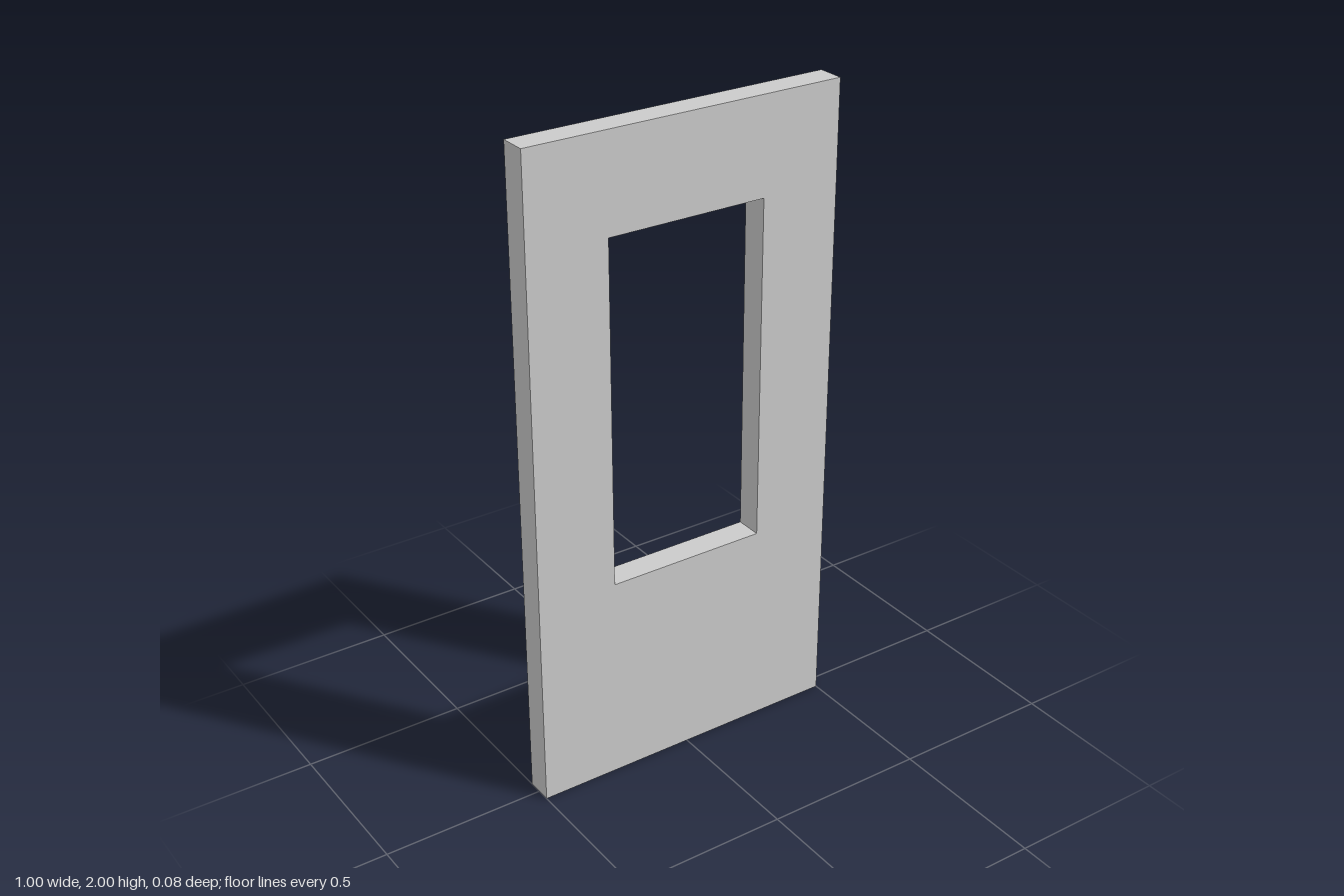
import * as THREE from 'three';

// Rectangle path centred on x = 0
function rectangle(path, halfWidth, bottom, top) {
  path.moveTo(-halfWidth, bottom);
  path.lineTo(halfWidth, bottom);
  path.lineTo(halfWidth, top);
  path.lineTo(-halfWidth, top);
  path.closePath();
  return path;
}

export function createModel() {
  const thickness = 0.083;
  const group = new THREE.Group();
  group.name = 'door';

  // Flat door slab with a rectangular window opening
  const outline = rectangle(new THREE.Shape(), 0.5, 0, 2);
  outline.holes.push(rectangle(new THREE.Path(), 0.25, 0.65, 1.707));

  const geometry = new THREE.ExtrudeGeometry(outline, { depth: thickness, bevelEnabled: false });
  geometry.translate(0, 0, -thickness / 2);

  const panel = new THREE.Mesh(geometry, new THREE.MeshStandardMaterial({ color: 0xcccccc }));
  panel.name = 'doorPanel';
  group.add(panel);
  return group;
}
